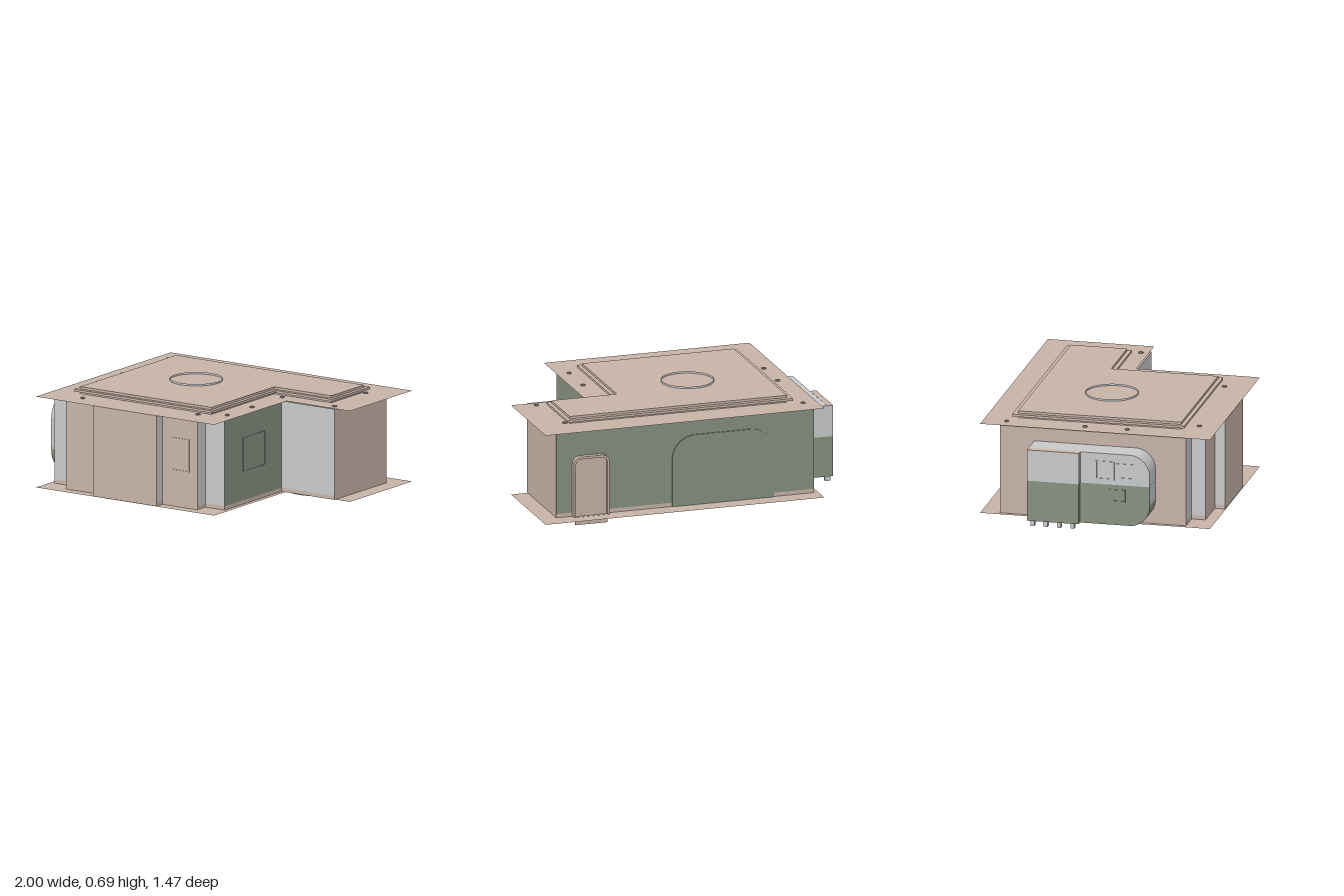
import * as THREE from 'three';
import { toCreasedNormals } from 'three/addons/utils/BufferGeometryUtils.js';

const mat = (name, color) => {
  const m = new THREE.MeshStandardMaterial({ color, side: THREE.DoubleSide });
  m.name = name;
  return m;
};

export function createModel() {
  const root = new THREE.Group();
  root.name = 'room';
  const tan = mat('tan', 0xc6b3a8);
  const green = mat('green', 0x869080);
  const grey = mat('grey', 0xc8c9ca);
  const FLOOR = 0.055, SKIRT = 0.08, ROOF = 0.635;

  const add = (name, geo, m, x = 0, y = 0, z = 0, parent = root) => {
    const mesh = new THREE.Mesh(geo, m);
    mesh.name = name;
    mesh.position.set(x, y, z);
    parent.add(mesh);
    return mesh;
  };
  const box = (name, m, x0, x1, y0, y1, z0, z1) =>
    add(name, new THREE.BoxGeometry(x1 - x0, y1 - y0, z1 - z0), m, (x0 + x1) / 2, (y0 + y1) / 2, (z0 + z1) / 2);
  const shapeOf = pts => new THREE.Shape(pts.map(p => new THREE.Vector2(p[0], p[1])));
  const extrude = (shape, depth) =>
    toCreasedNormals(new THREE.ExtrudeGeometry(shape, { depth, bevelEnabled: false, curveSegments: 12 }), 0.5);

  // L-shaped plan: x0..x1 wide, z0 (back) to z1 (front), with a front-left notch; shape y is -z
  const plan = (x0, xn, x1, z0, zn, z1) =>
    shapeOf([[x0, -z1], [xn, -z1], [xn, -zn], [x1, -zn], [x1, -z0], [x0, -z0]]);

  // Floor and roof sheets
  const sheet = plan(-0.83, 0.52, 1, -0.74, -0.06, 0.73);
  for (const [name, y] of [['floor', FLOOR], ['roof', ROOF]])
    add(name, new THREE.ShapeGeometry(sheet).rotateX(-Math.PI / 2), tan, 0, y, 0);

  // Stepped roof slab in three layers
  const narrow = plan(-0.65, 0.345, 0.775, -0.54, -0.18, 0.505);
  const wide = plan(-0.68, 0.37, 0.8, -0.57, -0.155, 0.53);
  [narrow, wide, narrow].forEach((s, i) =>
    add('roofLayer', extrude(s, 0.015).rotateX(-Math.PI / 2), tan, 0, ROOF + i * 0.015, 0));

  // Open rings on the roof and under the floor
  const ring = (name, r, h, m, x, y, z) =>
    add(name, new THREE.CylinderGeometry(r, r, h, 32, 1, true), m, x, y, z);
  ring('roofRing', 0.165, 0.012, grey, -0.16, 0.686, -0.055);
  ring('floorRing', 0.16, 0.01, grey, 0.61, 0.05, -0.23);

  // Small bolt rims around the roof edge
  const bolts = [[-0.565, 0.6], [-0.74, 0.18], [-0.74, -0.09], [-0.74, -0.59], [0.28, 0.56],
    [0.44, 0.47], [0.44, 0.2], [0.44, -0.13], [0.85, -0.11], [0.8, -0.52]];
  for (const [x, z] of bolts) ring('roofBolt', 0.015, 0.004, tan, x, ROOF + 0.002, z);

  // Walls: each entry runs from its point to the next one, counter-clockwise from above
  const outline = [
    [-0.8, 0.57, grey], [-0.65, 0.57, grey], [-0.65, 0.66, tan], [-0.4, 0.66, grey],
    [-0.4, 0.725, tan], [0.08, 0.725, grey], [0.08, 0.66, tan], [0.345, 0.66, grey],
    [0.345, 0.57, grey], [0.49, 0.57, green], [0.49, -0.05, grey], [0.89, -0.05, tan],
    [0.89, -0.62, green], [-0.8, -0.62, tan],
  ];
  outline.forEach(([x, z, m], i) => {
    const [x2, z2] = outline[(i + 1) % outline.length];
    const len = Math.hypot(x2 - x, z2 - z);
    for (const [name, y0, y1, c] of [['skirting', FLOOR, SKIRT, tan], ['wall', SKIRT, ROOF, m]]) {
      const w = add(name, new THREE.PlaneGeometry(len, y1 - y0), c, (x + x2) / 2, (y0 + y1) / 2, (z + z2) / 2);
      w.rotation.y = Math.atan2(-(z2 - z), x2 - x);
    }
  });

  // Thin rectangular frame, centred on its own origin and facing +z
  const frame = (w, h, t) => {
    const rect = (a, b) => [[-a, -b], [a, -b], [a, b], [-a, b]];
    const s = shapeOf(rect(w / 2, h / 2));
    s.holes.push(shapeOf(rect(w / 2 - t, h / 2 - t)));
    return extrude(s, 0.004);
  };
  add('frontWindow', frame(0.14, 0.21, 0.006), tan, 0.215, 0.39, 0.66);
  add('sideWindow', frame(0.24, 0.22, 0.006).rotateY(Math.PI / 2), green, 0.49, 0.37, 0.25);
  add('floorHatch', frame(0.67, 0.37, 0.006).rotateX(Math.PI / 2), tan, -0.2, FLOOR, -0.425);

  // Upright panel with rounded top corners
  const arch = (x0, x1, y0, y1, r) => {
    const s = new THREE.Shape();
    s.moveTo(x0, y0);
    s.lineTo(x1, y0);
    s.lineTo(x1, y1 - r);
    s.absarc(x1 - r, y1 - r, r, 0, Math.PI / 2);
    s.lineTo(x0 + r, y1);
    s.absarc(x0 + r, y1 - r, r, Math.PI / 2, Math.PI);
    s.closePath();
    return s;
  };
  // Wide arched panel and door on the back
  add('archPanel', extrude(arch(-0.535, 0.13, 0.05, 0.51, 0.15), 0.007), green, 0, 0, -0.627);
  add('door', extrude(arch(0.56, 0.77, 0, 0.43, 0.035), 0.008), tan, 0, 0, -0.637);
  const surround = arch(0.55, 0.785, FLOOR, 0.445, 0.05);
  surround.holes.push(arch(0.565, 0.77, FLOOR + 0.001, 0.43, 0.035));
  add('doorFrame', extrude(surround, 0.033), tan, 0, 0, -0.653);

  // Side unit: rounded at the front end, grey above and green below
  const Z0 = -0.4, Z1 = 0.375, R = 0.13, SPLIT = 0.34;
  const upper = new THREE.Shape();
  upper.moveTo(Z0, SPLIT);
  upper.lineTo(Z1, SPLIT);
  upper.lineTo(Z1, 0.54 - R);
  upper.absarc(Z1 - R, 0.54 - R, R, 0, Math.PI / 2);
  upper.lineTo(Z0, 0.54);
  const lower = new THREE.Shape();
  lower.moveTo(Z0, SPLIT);
  lower.lineTo(Z0, SKIRT);
  lower.lineTo(Z1 - R, SKIRT);
  lower.absarc(Z1 - R, SKIRT + R, R, -Math.PI / 2, 0);
  lower.lineTo(Z1, SPLIT);
  for (const [name, s, m] of [['unitTop', upper, grey], ['unitBase', lower, green]])
    add(name, extrude(s, 0.16).rotateY(-Math.PI / 2), m, -0.8, 0, 0);
  box('unitFrontPlate', grey, -0.96, -0.8, 0.235, SPLIT, Z1 - 0.002, Z1 + 0.001);
  box('unitFrontBand', tan, -0.96, -0.8, 0.215, 0.235, Z1 - 0.002, Z1 + 0.001);

  // Outer box on the unit with tan caps
  box('unitBoxTop', grey, -1, -0.96, SPLIT, 0.54, Z0, -0.07);
  box('unitBoxBase', green, -1, -0.96, SKIRT, SPLIT, Z0, -0.07);
  box('unitBoxCap', tan, -1, -0.96, 0.538, 0.541, Z0, -0.07);
  box('unitBoxFront', tan, -1, -0.96, SPLIT, 0.54, -0.071, -0.068);

  // Frames on the unit's outer side
  for (const [z, y, w, h, m] of [[0.09, 0.43, 0.12, 0.12, grey], [0.22, 0.43, 0.11, 0.1, grey], [0.17, 0.27, 0.1, 0.08, green]])
    add('unitFrame', frame(w, h, 0.008).rotateY(-Math.PI / 2), m, -0.96, y, z);

  // Prongs beneath the unit
  for (let i = 0; i < 4; i++) {
    const z = -0.38 + i * 0.085;
    box('prong', grey, -0.99, -0.955, 0.045, SKIRT, z, z + 0.025);
  }
  return root;
}
